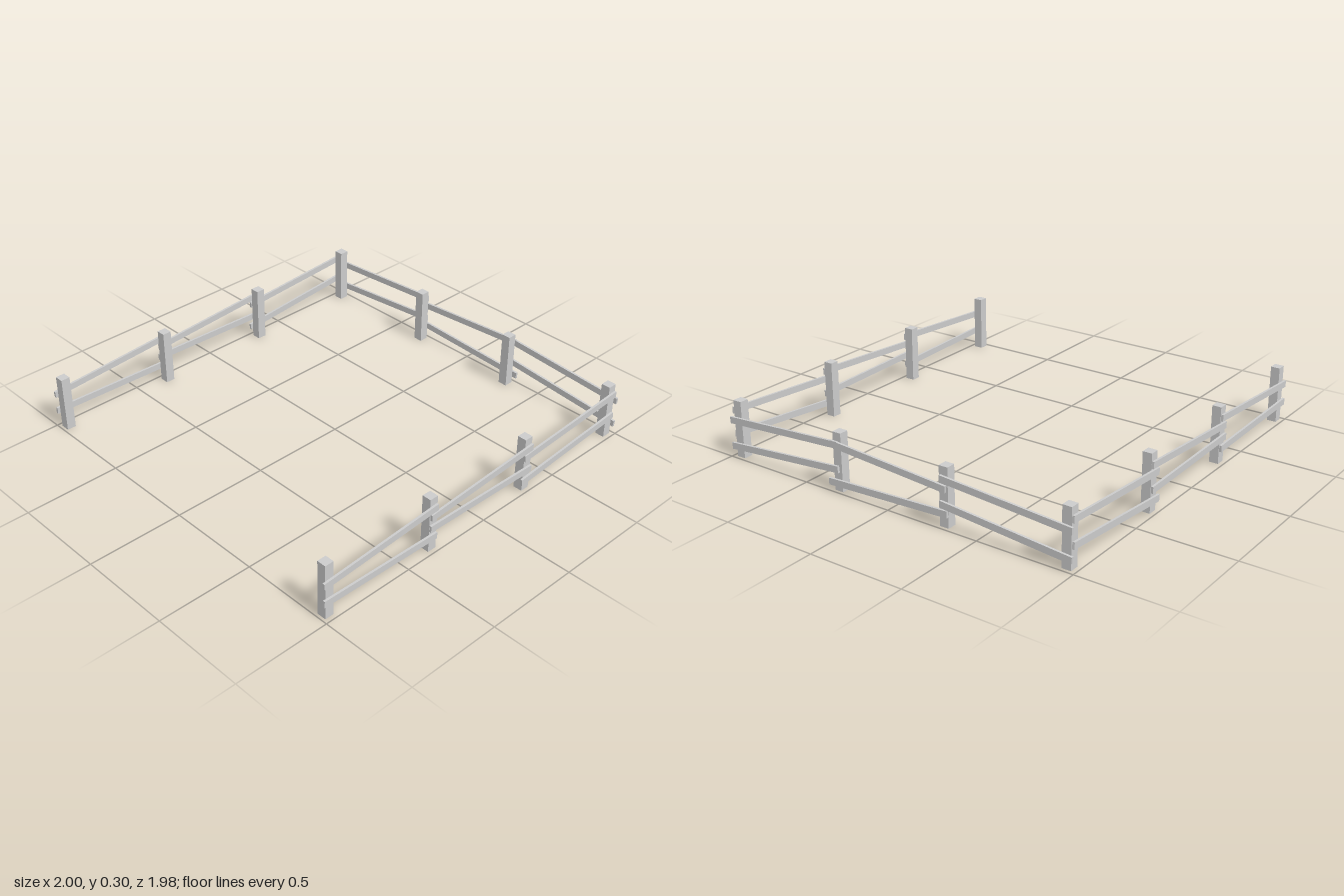
import * as THREE from 'three';

const material = new THREE.MeshStandardMaterial({ color: 0xcccccc, flatShading: true });
const POST_WIDTH = 0.048, POST_HEIGHT = 0.296;
const RAIL_HEIGHT = 0.034, RAIL_DEPTH = 0.012;

function addPost(parent, x, z) {
  const post = new THREE.Mesh(new THREE.BoxGeometry(POST_WIDTH, POST_HEIGHT, POST_WIDTH), material);
  post.name = 'post';
  post.position.set(x, POST_HEIGHT / 2, z);
  parent.add(post);
}

// Tilted plank along local x, from (x0, y0) to (x1, y1)
function addRail(parent, [x0, y0, x1, y1]) {
  const length = Math.hypot(x1 - x0, y1 - y0);
  const rail = new THREE.Mesh(new THREE.BoxGeometry(length, RAIL_HEIGHT, RAIL_DEPTH), material);
  rail.name = 'rail';
  rail.position.set((x0 + x1) / 2, (y0 + y1) / 2, 0);
  rail.rotation.z = Math.atan2(y1 - y0, x1 - x0);
  parent.add(rail);
}

function makeRails(name, rails) {
  const group = new THREE.Group();
  group.name = name;
  rails.forEach((r) => addRail(group, r));
  return group;
}

export function createModel() {
  const model = new THREE.Group();
  model.name = 'fence';

  // Posts: front and back rows, then the two between them on the closed side
  const posts = new THREE.Group();
  posts.name = 'posts';
  for (const z of [-0.953, 0.953])
    for (const x of [-0.96, -0.327, 0.32, 0.957]) addPost(posts, x, z);
  for (const z of [-0.31, 0.31]) addPost(posts, 0.957, z);
  model.add(posts);

  // Matching crooked rails on the outer faces of the front and back rows
  const rowRails = [
    [-0.999, 0.195, -0.307, 0.241], [-0.999, 0.098, -0.308, 0.08],
    [-0.346, 0.195, 0.344, 0.241], [-0.35, 0.134, 0.342, 0.118],
    [0.29, 0.195, 0.98, 0.241], [0.282, 0.059, 0.976, 0.118],
  ];
  for (const [name, z] of [['frontRails', 0.983], ['backRails', -0.983]]) {
    const row = makeRails(name, rowRails);
    row.position.z = z;
    model.add(row);
  }

  // Rails of the closed side, laid out from front to back
  const sideRails = makeRails('sideRails', [
    [-0.99, 0.195, -0.296, 0.241], [-0.99, 0.059, -0.296, 0.118],
    [-0.335, 0.241, 0.33, 0.195], [-0.355, 0.046, 0.338, 0.076],
    [0.298, 0.241, 0.99, 0.195], [0.298, 0.118, 0.99, 0.059],
  ]);
  sideRails.rotation.y = Math.PI / 2;
  sideRails.position.x = 0.993;
  model.add(sideRails);

  return model;
}
